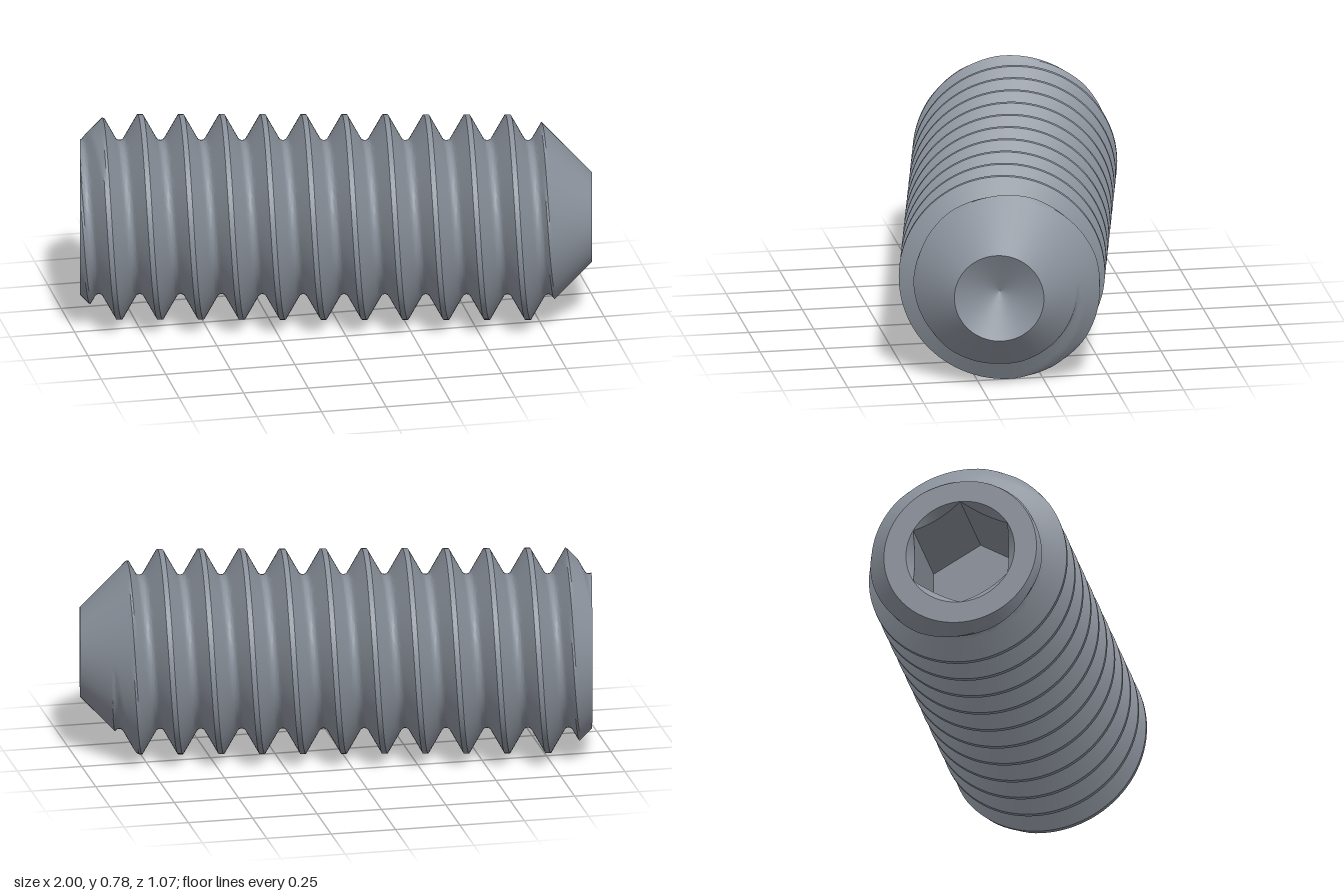
import * as THREE from 'three';
import { toCreasedNormals } from 'three/addons/utils/BufferGeometryUtils.js';

const HALF = 0.971;      // half length along the screw axis
const PITCH = 0.155;
const MAJOR = 0.39;      // crest radius
const PHASE = -0.735;    // axial position of one crest at the top
const TIP = 0.17;        // cup rim radius
const REAR = 0.295;      // socket face radius
const SEG = 96;

// Thread form: flat crest, 60 degree flanks, rounded root
const CREST = PITCH / 16;
const FILLET = 0.02;
const TAN60 = Math.sqrt(3);
const half = [[0, MAJOR]];
const flankEnd = PITCH / 2 - FILLET * Math.sin(Math.PI / 3);
for (let i = 0; i <= 6; i++) {
  const d = CREST + (flankEnd - CREST) * i / 6;
  half.push([d, MAJOR - (d - CREST) * TAN60]);
}
const rootCentre = half[7][1] + FILLET / 2;
for (let i = 1; i <= 5; i++) {
  const a = (Math.PI / 3) * (1 - i / 5);
  half.push([PITCH / 2 - FILLET * Math.sin(a), rootCentre - FILLET * Math.cos(a)]);
}
// One full pitch, crest to just before the next crest
const pitchProfile = [...half, ...half.slice(1, -1).reverse().map(([d, r]) => [PITCH - d, r])];

function threadRadius(s, theta) {
  let d = (s - PHASE) / PITCH - theta / (2 * Math.PI);
  d = Math.abs(d - Math.round(d)) * PITCH;
  if (d <= CREST) return MAJOR;
  if (d <= flankEnd) return MAJOR - (d - CREST) * TAN60;
  const w = PITCH / 2 - d;
  return rootCentre - Math.sqrt(FILLET * FILLET - w * w);
}

// Thread cut by the 45 degree chamfers at both ends
function bodyRadius(s, theta) {
  return Math.min(threadRadius(s, theta), TIP + HALF - s, REAR + s + HALF);
}

// Surface around the x axis; point(row, theta) returns [axial, radius]
function sweep(rows, point, crease) {
  const pos = [];
  const at = (j, i) => {
    const theta = (i / SEG) * 2 * Math.PI;
    const [s, r] = point(j, theta);
    const t = ((i % SEG) / SEG) * 2 * Math.PI;
    return new THREE.Vector3(s, r * Math.cos(t), r * Math.sin(t));
  };
  const tri = (a, b, c) => {
    const n = b.clone().sub(a).cross(c.clone().sub(a));
    if (n.length() > 1e-10) for (const v of [a, b, c]) pos.push(v.x, v.y, v.z);
  };
  for (let j = 0; j < rows - 1; j++) {
    for (let i = 0; i < SEG; i++) {
      const a = at(j, i), b = at(j, i + 1), c = at(j + 1, i + 1), d = at(j + 1, i);
      tri(a, b, c);
      tri(a, c, d);
    }
  }
  const g = new THREE.BufferGeometry();
  g.setAttribute('position', new THREE.Float32BufferAttribute(pos, 3));
  return toCreasedNormals(g, crease);
}

export function createModel() {
  const steel = new THREE.MeshStandardMaterial({ color: 0x8b929c });
  steel.name = 'steel';
  const screw = new THREE.Group();
  screw.name = 'setScrew';
  const add = (name, geometry) => {
    const mesh = new THREE.Mesh(geometry, steel);
    mesh.name = name;
    screw.add(mesh);
  };

  // Threaded body: rows follow the helix and are clamped at the ends
  const n = pitchProfile.length;
  add('threadedBody', sweep(15 * n + 1, (j, theta) => {
    const turn = Math.floor(j / n) - 3;
    const s = PHASE + PITCH * (turn + theta / (2 * Math.PI)) + pitchProfile[j % n][0];
    const x = THREE.MathUtils.clamp(s, -HALF, HALF);
    return [x, bodyRadius(x, theta)];
  }, 0.5));

  // Hex socket with countersunk mouth and flat end face
  const mouth = 0.21, apothem = mouth * Math.cos(Math.PI / 6), depth = 0.4;
  add('hexSocket', sweep(5, (j, theta) => {
    const sector = Math.PI / 3;
    const hex = apothem / Math.cos((theta % sector) - sector / 2);
    return [
      [-HALF + depth, 0],
      [-HALF + depth, hex],
      [-HALF + (mouth - hex), hex],
      [-HALF, mouth],
      [-HALF, bodyRadius(-HALF, theta)],
    ][j];
  }, 0.45));

  // Conical cup in the tip
  add('cupPoint', sweep(2, (j) => [[HALF, TIP], [HALF - 0.095, 0]][j], 0.5));

  screw.rotation.y = -0.206;
  screw.position.set(0.012, MAJOR, 0.005);
  const model = new THREE.Group();
  model.name = 'model';
  model.add(screw);
  return model;
}
